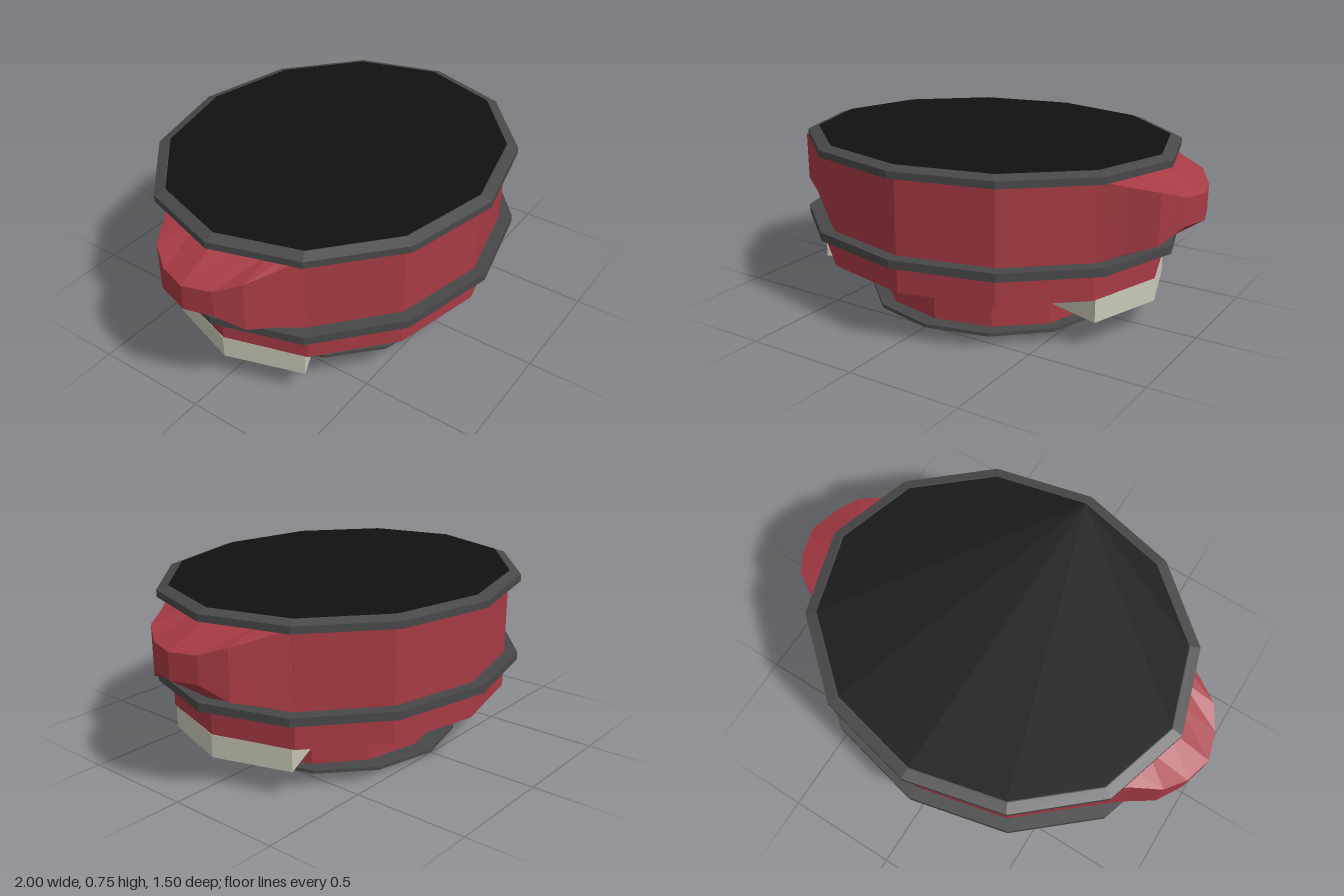
import * as THREE from 'three';

const mat = (color) => new THREE.MeshStandardMaterial({ color, flatShading: true });
const RED = mat(0xa63a44), GREY = mat(0x484848), DARK = mat(0x111111), GOLD = mat(0xd6a520), PALE = mat(0xc8c8b8);

// Skin a row of cross-sections; optionally close each loop and cap both ends.
function loft(name, rows, material, closed = true, capped = true) {
  const pos = [];
  const tri = (a, b, c) => pos.push(...a, ...b, ...c);
  for (let r = 0; r < rows.length - 1; r++) {
    const lo = rows[r], hi = rows[r + 1], n = lo.length;
    for (let i = 0; i < (closed ? n : n - 1); i++) {
      const j = (i + 1) % n;
      tri(lo[i], lo[j], hi[j]);
      tri(lo[i], hi[j], hi[i]);
    }
  }
  if (capped) {
    const first = rows[0], last = rows[rows.length - 1];
    for (let i = 1; i < first.length - 1; i++) {
      tri(first[0], first[i + 1], first[i]);
      tri(last[0], last[i], last[i + 1]);
    }
  }
  const geo = new THREE.BufferGeometry();
  geo.setAttribute('position', new THREE.Float32BufferAttribute(pos, 3));
  geo.computeVertexNormals();
  const mesh = new THREE.Mesh(geo, material);
  mesh.name = name;
  return mesh;
}

// Corner k of a twelve-sided oval; k = 0 faces the front, k = 3 the left side.
const corner = (k, [rx, rz, zc, y]) => {
  const a = (k * Math.PI) / 6;
  return [rx * Math.sin(a), y, zc + rz * Math.cos(a)];
};
const oval = (p) => Array.from({ length: 12 }, (_, k) => corner(k, p));
const stack = (name, material, profile) => loft(name, profile.map(oval), material);

export function createModel() {
  const group = new THREE.Group();

  // Stacked oval drums and rims, each profile entry is [rx, rz, zCentre, y]
  group.add(
    stack('basePlate', GREY, [[0.555, 0.51, 0.01, 0], [0.555, 0.51, 0.01, 0.015]]),
    stack('neck', RED, [[0.505, 0.432, 0.017, 0.015], [0.505, 0.432, 0.017, 0.205]]),
    stack('neckTrim', GOLD, [[0.508, 0.435, 0.017, 0.191], [0.508, 0.435, 0.017, 0.202]]),
    stack('body', RED, [[0.5, 0.43, 0.017, 0.2], [0.805, 0.695, 0, 0.22], [0.805, 0.695, 0, 0.71]]),
    stack('middleRim', GREY, [[0.87, 0.75, 0, 0.342], [0.87, 0.75, 0, 0.378]]),
    stack('topRim', GREY, [[0.855, 0.745, -0.003, 0.705], [0.855, 0.745, -0.003, 0.735], [0.81, 0.7, -0.003, 0.75]]),
    stack('topPanel', DARK, [[0.805, 0.695, -0.003, 0.74], [0.805, 0.695, -0.003, 0.752]]),
  );

  // Side bulge columns, from front to middle: [outer x, z, lower y, upper y, inner x]
  const half = [
    [0.697, 0.347, 0.375, 0.706, 0.697],
    [0.79, 0.28, 0.41, 0.682, 0.717],
    [0.9, 0.215, 0.445, 0.66, 0.737],
    [0.965, 0.12, 0.51, 0.627, 0.767],
    [1, 0, 0.51, 0.623, 0.805],
  ];
  const columns = [...half, ...half.slice(0, -1).reverse().map(([x, z, ...rest]) => [x, -z, ...rest])];
  const bulgeRows = [
    columns.map(([, z, , , xi]) => [xi, 0.375, z]),
    columns.map(([x, z, lo]) => [x, lo, z]),
    columns.map(([x, z, , hi]) => [x, hi, z]),
    columns.map(([, z, , , xi]) => [xi, 0.706, z]),
  ];

  // Foot blocks wedged between neck and body underside
  const outer = [0.808, 0.67, 0], inner = [0.5, 0.43, 0.005];
  const footRows = [2, 3, 4].map((k) => [
    corner(k, [...outer, 0.221]),
    corner(k, [...outer, 0.122]),
    corner(k, [...inner, 0.105]),
    corner(k, [...inner, 0.2]),
  ]);

  for (const [side, turn] of [['left', 0], ['right', Math.PI]]) {
    const bulge = loft(side + 'Bulge', bulgeRows, RED, false, false);
    const foot = loft(side + 'Foot', footRows, PALE);
    bulge.rotation.y = foot.rotation.y = turn;
    group.add(bulge, foot);
  }
  return group;
}
